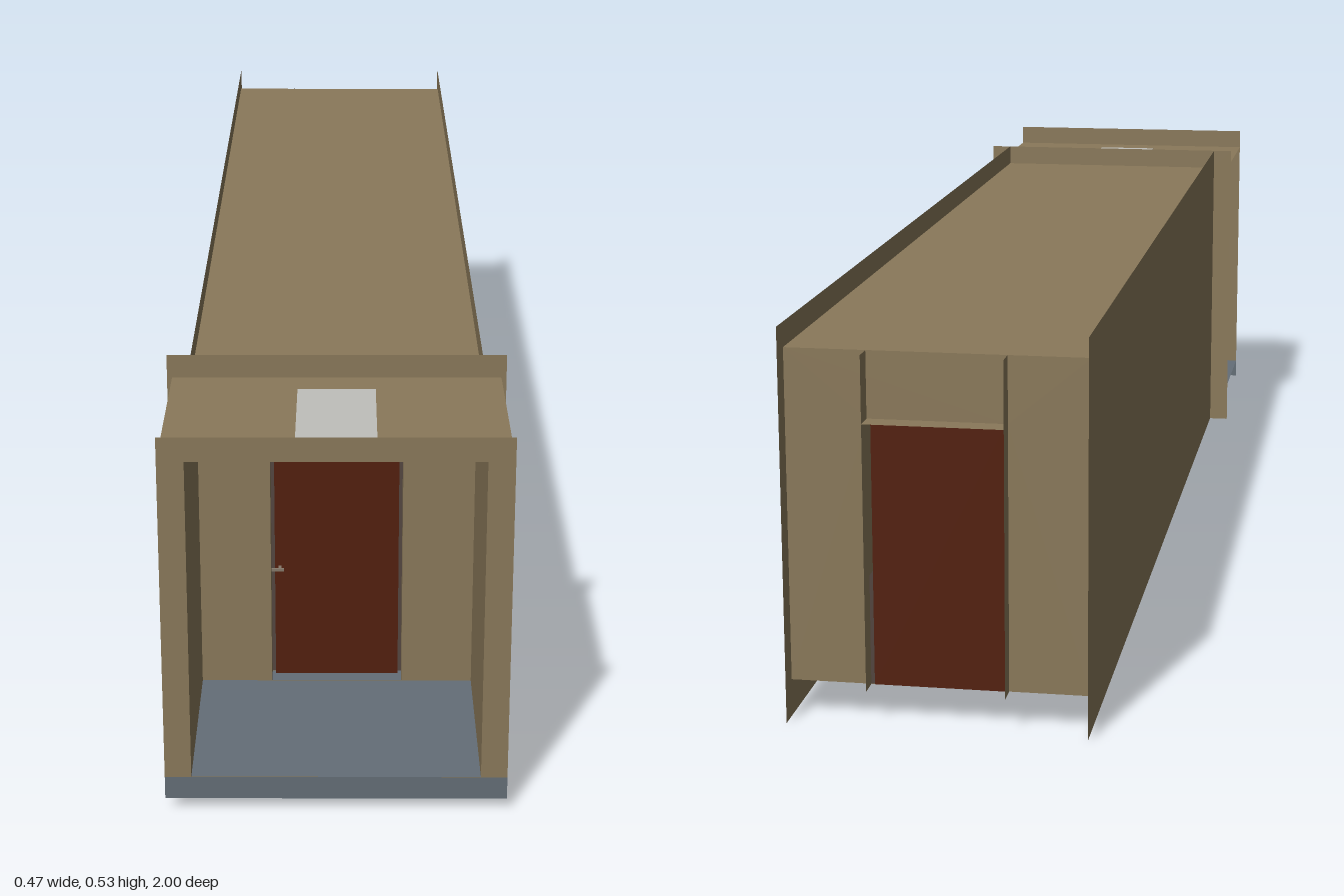
import * as THREE from 'three';

const mat = (name, color) => {
  const m = new THREE.MeshStandardMaterial({ color, side: THREE.DoubleSide });
  m.name = name;
  return m;
};

export function createModel() {
  const root = new THREE.Group();
  root.name = 'corridorModule';
  const tan = mat('tanPanel', 0x8a795a);
  const brown = mat('doorBrown', 0x53200e);
  const grey = mat('blueGreyFloor', 0x646e77);
  const dark = mat('darkFloor', 0x4a3e38);
  const light = mat('lampGrey', 0xbfbfbb);
  const metal = mat('handleMetal', 0x85796a);

  const add = (name, geo, material) => {
    const m = new THREE.Mesh(geo, material);
    m.name = name;
    root.add(m);
    return m;
  };
  // Sheet facing z, with optional rectangular holes [x0, x1, y0, y1]
  const sheetZ = (name, z, [x0, x1, y0, y1], material, holes = []) => {
    const rect = (C, a, b, c, d) => {
      const p = new C();
      p.moveTo(a, c); p.lineTo(b, c); p.lineTo(b, d); p.lineTo(a, d); p.closePath();
      return p;
    };
    const s = rect(THREE.Shape, x0, x1, y0, y1);
    for (const h of holes) s.holes.push(rect(THREE.Path, ...h));
    add(name, new THREE.ShapeGeometry(s), material).position.z = z;
  };
  // Sheet facing x
  const sheetX = (name, x, y0, y1, z0, z1, material) => {
    const g = new THREE.PlaneGeometry(z1 - z0, y1 - y0).rotateY(Math.PI / 2);
    add(name, g, material).position.set(x, (y0 + y1) / 2, (z0 + z1) / 2);
  };
  // Sheet facing y
  const sheetY = (name, y, w, z0, z1, material) => {
    const g = new THREE.PlaneGeometry(w * 2, z1 - z0).rotateX(-Math.PI / 2);
    add(name, g, material).position.set(0, y, (z0 + z1) / 2);
  };
  const box = (name, x, y, z, w, h, d, material) =>
    add(name, new THREE.BoxGeometry(w, h, d), material).position.set(x, y, z);

  const floorY = 0.05, roofY = 0.5, topY = 0.533, doorX = 0.092, doorTop = 0.41;

  // Long corridor
  sheetY('corridorRoof', roofY, 0.2, -0.97, 0.7, tan);
  sheetY('corridorFloor', floorY, 0.2, -0.97, 0.7, dark);
  sheetZ('floorEdge', 0.7, [-0.2, 0.2, 0, floorY], dark);

  // Entrance room
  sheetY('roomRoof', roofY, 0.226, 0.7, 1, tan);
  sheetY('roomFloor', floorY, 0.226, 0.7, 1, grey);
  sheetZ('roomFloorLip', 1, [-0.226, 0.226, 0.018, floorY], grey);

  // Walls, flange wings and door reveals, mirrored
  for (const s of [-1, 1]) {
    sheetX('corridorWall', s * 0.2, 0, topY, -1, 0.7, tan);
    sheetX('roomWall', s * 0.191, floorY, roofY, 0.73, 1, tan);
    sheetX('partitionSide', s * 0.226, floorY, roofY, 0.7, 0.73, tan);
    sheetX('frontDoorJamb', s * doorX, floorY, roofY, 0.7, 0.73, tan);
    sheetX('rearDoorFin', s * doorX, floorY, roofY, -1, -0.97, tan);
    const [a, b] = s < 0 ? [-0.233, -0.2] : [0.2, 0.233];
    sheetZ('flangeFoot', 0.7, [a, b, 0, floorY], tan);
  }

  // Cross walls with openings
  const opening = [-doorX, doorX, floorY + 0.0005, doorTop];
  sheetZ('frontFrame', 1, [-0.226, 0.226, floorY, topY], tan,
    [[-0.191, 0.191, floorY + 0.0005, roofY]]);
  sheetZ('partitionWall', 0.73, [-0.226, 0.226, floorY, roofY], tan, [opening]);
  sheetZ('flangeWall', 0.7, [-0.233, 0.233, floorY, topY], tan, [opening]);
  sheetZ('rearWall', -0.97, [-0.2, 0.2, floorY, roofY], tan, [opening]);

  // Lintels and doors
  sheetY('frontLintel', doorTop, doorX, 0.7, 0.73, tan);
  sheetY('rearLintel', doorTop, doorX, -1, -0.97, tan);
  for (const [name, z] of [['frontDoor', 0.705], ['rearDoor', -0.968]])
    box(name, 0, 0.2275, z, 0.174, 0.355, 0.006, brown);

  // Door handle
  box('handleLever', -0.0835, 0.218, 0.718, 0.019, 0.004, 0.004, metal);
  box('handleStem', -0.08, 0.218, 0.712, 0.004, 0.004, 0.01, metal);

  // Ceiling lamp, its back plate just showing through the roof
  box('lampHousing', 0, 0.4954, 0.848, 0.106, 0.0102, 0.206, light);
  box('lampDiffuser', 0, 0.488, 0.848, 0.09, 0.0045, 0.19, light);
  return root;
}
